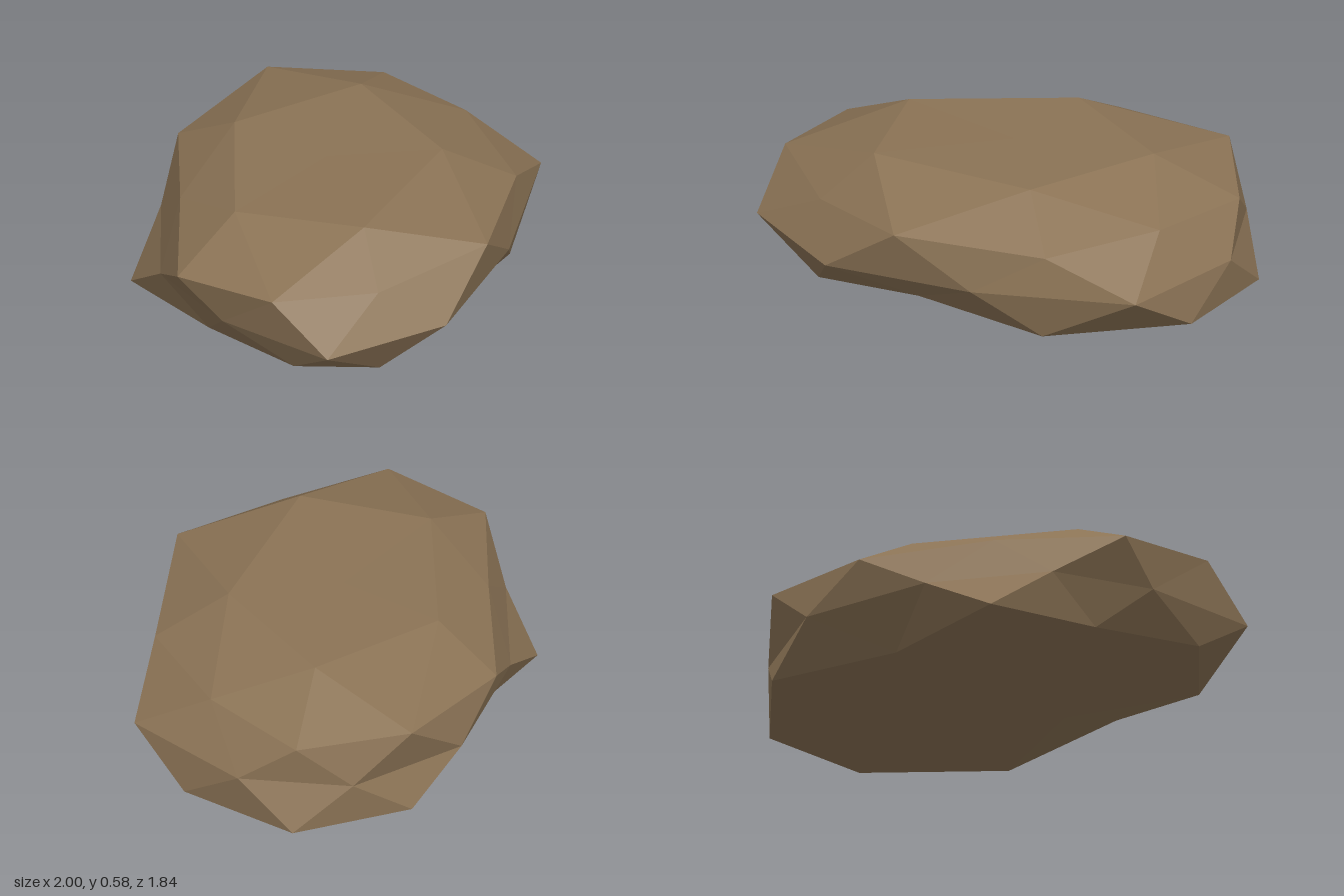
import * as THREE from 'three';

// Horizontal cross-sections from top to bottom, each point [x, y, z]
const topPoint = [-0.04, 0.565, -0.05];
const topRing = [
  [-0.64, 0.56, 0.02], [-0.15, 0.56, -0.53], [0.47, 0.56, -0.4], [0.37, 0.565, 0.24], [-0.33, 0.58, 0.515],
];
const shoulderRing = [
  [-1, 0.39, 0.05], [-0.6, 0.43, -0.38], [-0.21, 0.39, -0.83], [0.39, 0.44, -0.92], [0.79, 0.39, -0.61],
  [0.82, 0.415, -0.11], [0.65, 0.39, 0.41], [0.12, 0.447, 0.815], [-0.44, 0.39, 0.73], [-0.88, 0.43, 0.53],
];
const waistRing = [
  [-0.91, 0.215, 0.24], [-0.85, 0.215, -0.23], [-0.47, 0.215, -0.65], [0.09, 0.215, -0.92], [0.63, 0.215, -0.8],
  [0.95, 0.215, -0.41], [0.99, 0.215, 0.19], [0.41, 0.215, 0.63], [-0.21, 0.215, 0.915], [-0.785, 0.215, 0.785],
];
const footRing = [
  [-0.79, 0.03, 0.02], [-0.78, 0.025, -0.5], [-0.15, 0.02, -0.61], [0.39, 0.03, -0.92], [0.86, 0.005, -0.66],
  [1, 0.02, -0.13], [0.62, 0, 0.4], [0.07, 0.07, 0.62], [-0.44, 0.015, 0.74], [-0.77, 0.07, 0.55],
];
const bottomPoint = [0, 0, 0];
// Underside ring sits inside every second foot point
const bottomRing = [1, 3, 5, 7, 9].map((i) => [footRing[i][0] * 0.55, 0.006, footRing[i][2] * 0.55]);

function rockGeometry() {
  const positions = [];
  const tri = (a, b, c) => positions.push(...a, ...b, ...c);

  // Top and underside caps, five sectors each
  for (let i = 0; i < 5; i++) {
    const n = (i + 1) % 5;
    const j = 2 * i, k = j + 1, l = (j + 2) % 10;
    tri(topPoint, topRing[n], topRing[i]);
    tri(topRing[i], shoulderRing[k], shoulderRing[j]);
    tri(topRing[i], topRing[n], shoulderRing[k]);
    tri(topRing[n], shoulderRing[l], shoulderRing[k]);

    tri(bottomRing[i], footRing[j], footRing[k]);
    tri(bottomRing[i], footRing[k], footRing[l]);
    tri(footRing[l], bottomRing[n], bottomRing[i]);
    tri(bottomPoint, bottomRing[i], bottomRing[n]);
  }

  // Sides, ten facet pairs above and below the waist
  for (let j = 0; j < 10; j++) {
    const n = (j + 1) % 10;
    tri(shoulderRing[j], waistRing[n], waistRing[j]);
    tri(shoulderRing[j], shoulderRing[n], waistRing[n]);
    tri(waistRing[j], waistRing[n], footRing[j]);
    tri(waistRing[n], footRing[n], footRing[j]);
  }

  const geometry = new THREE.BufferGeometry();
  geometry.setAttribute('position', new THREE.Float32BufferAttribute(positions, 3));
  geometry.computeVertexNormals();
  return geometry;
}

export function createModel() {
  const stone = new THREE.MeshStandardMaterial({ color: 0x8b7355, flatShading: true });
  stone.name = 'brown stone';

  const rock = new THREE.Mesh(rockGeometry(), stone);
  rock.name = 'rock';

  const model = new THREE.Group();
  model.name = 'flatRock';
  model.add(rock);
  return model;
}
